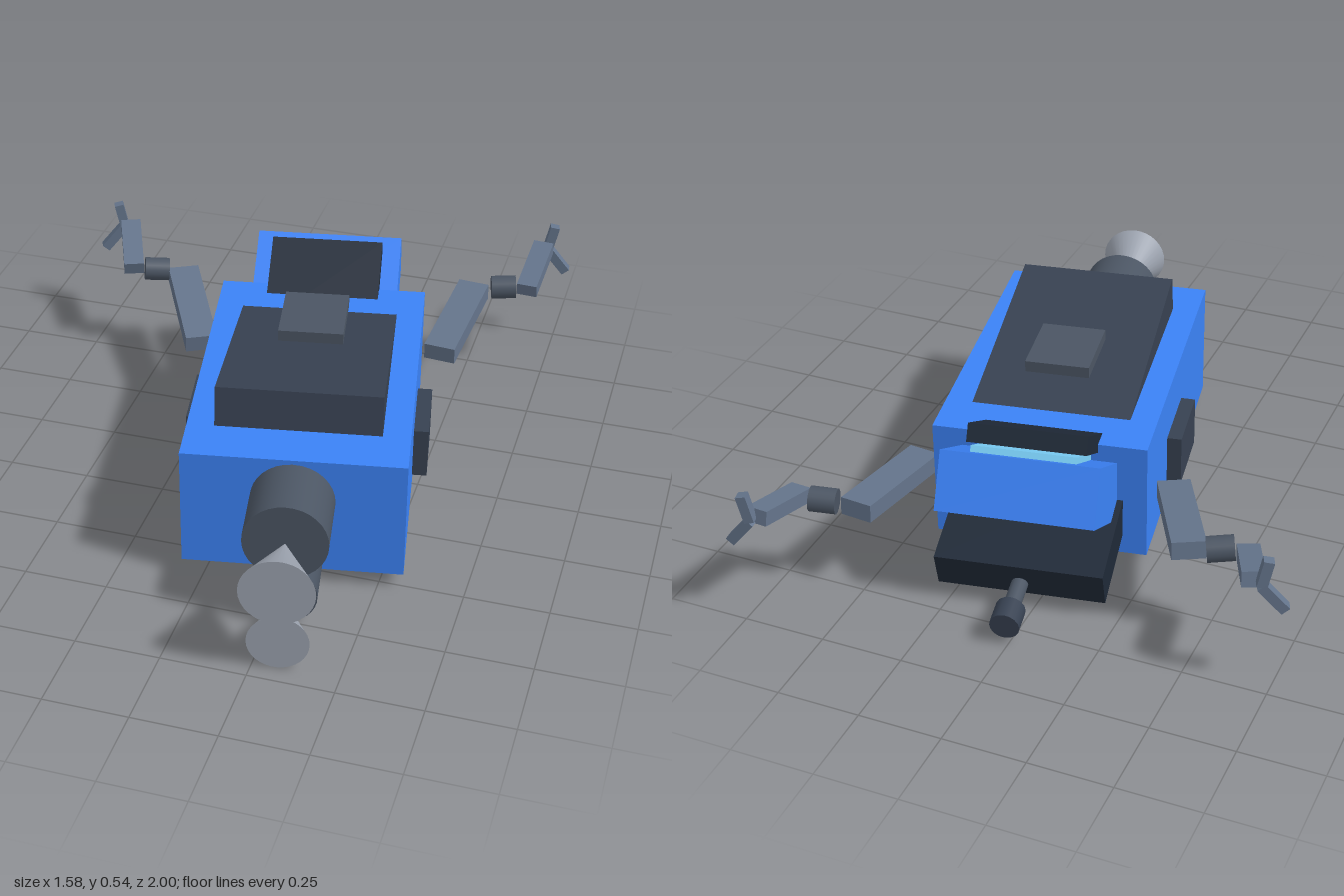
import * as THREE from 'three';

const mat = (color) => new THREE.MeshStandardMaterial({ color });
const BLUE = mat(0x3b82f6), BLACK = mat(0x1f2937), DARK = mat(0x374151);
const SLATE = mat(0x4b5563), STEEL = mat(0x64748b), PALE = mat(0x9ca3af), GLASS = mat(0x7dd3fc);

function add(parent, name, geometry, material, [x, y, z], pitch = 0) {
  const mesh = new THREE.Mesh(geometry, material);
  mesh.name = name;
  mesh.position.set(x, y, z);
  mesh.rotation.x = pitch;
  parent.add(mesh);
  return mesh;
}

const box = (w, h, d) => new THREE.BoxGeometry(w, h, d);
// cylinder or cone lying along z
const tube = (rBack, rFront, length, sides = 32) =>
  new THREE.CylinderGeometry(rBack, rFront, length, sides).rotateX(Math.PI / 2);

// places a part lying along z so that it runs from a to b
function span(parent, name, a, b, makeGeometry, material) {
  const from = new THREE.Vector3(...a), to = new THREE.Vector3(...b);
  const mid = from.clone().lerp(to, 0.5);
  const mesh = add(parent, name, makeGeometry(from.distanceTo(to)), material, mid.toArray());
  mesh.lookAt(to);
  return mesh;
}

function buildArm(name, p) {
  const arm = new THREE.Group();
  arm.name = name;
  span(arm, 'upperArm', p.shoulder, p.elbow, (l) => box(0.1, 0.055, l), STEEL);
  span(arm, 'elbowJoint', p.jointIn, p.jointOut, (l) => tube(0.038, 0.038, l, 16), SLATE);
  span(arm, 'forearm', p.wristIn, p.wrist, (l) => box(0.066, 0.045, l), STEEL);
  for (const tip of p.tips) span(arm, 'finger', p.hand, tip, (l) => box(0.03, 0.03, l), STEEL);
  return arm;
}

export function createModel() {
  const model = new THREE.Group();
  model.name = 'robotCraft';

  // hull and everything aligned with it
  const hull = new THREE.Group();
  hull.name = 'hull';
  hull.position.set(0.17, 0, 0.085);
  hull.rotation.y = 0.176;
  model.add(hull);

  add(hull, 'body', box(0.645, 0.375, 0.97), BLUE, [0, 0.2375, 0]);
  add(hull, 'topPanel', box(0.483, 0.12, 0.67), DARK, [0, 0.426, 0.0], -0.182);
  add(hull, 'topPlate', box(0.195, 0.035, 0.23), SLATE, [0, 0.518, -0.137]);
  for (const s of [-1, 1]) add(hull, 'sidePod', box(0.08, 0.16, 0.235), DARK, [s * 0.327, 0.185, -0.052]);

  // raised head with visor and window
  const tilt = Math.PI / 6;
  add(hull, 'head', box(0.465, 0.175, 0.4), BLUE, [0, 0.319, -0.574], tilt);
  add(hull, 'window', box(0.31, 0.04, 0.3), GLASS, [0, 0.398, -0.538], tilt);
  add(hull, 'visor', box(0.352, 0.055, 0.32), BLACK, [0, 0.426, -0.48], tilt);

  // lowered jaw with its nozzle
  add(hull, 'jaw', box(0.5, 0.118, 0.4), BLACK, [0, 0.157, -0.555], -0.28);
  add(hull, 'nozzleRod', tube(0.025, 0.025, 0.16, 16), SLATE, [0, 0.083, -0.78], -0.1);
  add(hull, 'nozzleTip', tube(0.044, 0.044, 0.076, 16), DARK, [0, 0.073, -0.887], -0.1);

  // thrusters, each a drum and a flaring cone
  const thrusters = [
    { y: 0.29, r: 0.122, start: 0.47, coneR: 0.106, coneY: 0.29, end: 0.905 },
    { y: 0.107, r: 0.092, start: 0.47, coneR: 0.088, coneY: 0.092, end: 0.873 },
  ];
  for (const t of thrusters) {
    const length = 0.687 - t.start, coneLength = t.end - 0.69;
    add(hull, 'thrusterDrum', tube(t.r, t.r, length), SLATE, [0, t.y, t.start + length / 2]);
    add(hull, 'thrusterCone', tube(t.coneR, 0.001, coneLength), PALE, [0, t.coneY, 0.69 + coneLength / 2]);
  }

  // arms, each in its own pose
  model.add(buildArm('leftArm', {
    shoulder: [0.473, 0.25, -0.378], elbow: [0.507, 0.288, -0.747],
    jointIn: [0.565, 0.303, -0.748], jointOut: [0.642, 0.307, -0.768],
    wristIn: [0.682, 0.308, -0.752], wrist: [0.697, 0.36, -0.967],
    hand: [0.71, 0.35, -0.978],
    tips: [[0.728, 0.435, -0.982], [0.775, 0.272, -0.985]],
  }));
  model.add(buildArm('rightArm', {
    shoulder: [-0.278, 0.24, -0.235], elbow: [-0.45, 0.288, -0.57],
    jointIn: [-0.498, 0.3, -0.562], jointOut: [-0.572, 0.307, -0.532],
    wristIn: [-0.61, 0.302, -0.528], wrist: [-0.688, 0.36, -0.718],
    hand: [-0.712, 0.352, -0.722],
    tips: [[-0.728, 0.435, -0.715], [-0.775, 0.272, -0.697]],
  }));

  return model;
}
